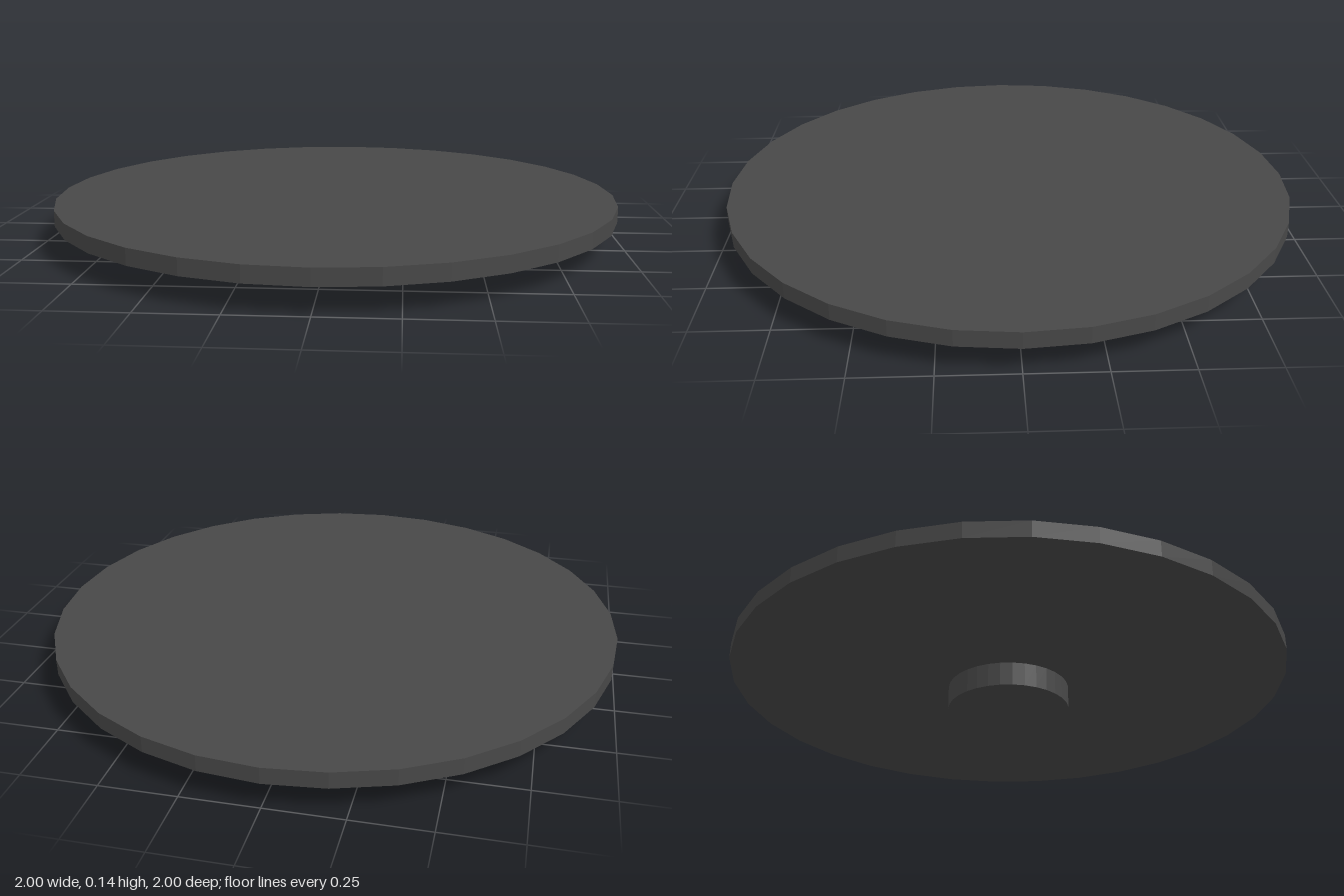
import * as THREE from 'three';

export function createModel() {
  const model = new THREE.Group();
  const material = new THREE.MeshStandardMaterial({ color: 0x484848, flatShading: true });

  // Upright faceted cylinder standing on height y
  const addDisc = (name, radius, y, height) => {
    const mesh = new THREE.Mesh(new THREE.CylinderGeometry(radius, radius, height, 32), material);
    mesh.name = name;
    mesh.position.y = y + height / 2;
    model.add(mesh);
  };

  addDisc('hub', 0.22, 0, 0.085); // short foot under the centre
  addDisc('plate', 1, 0.085, 0.055); // wide thin round top
  return model;
}
